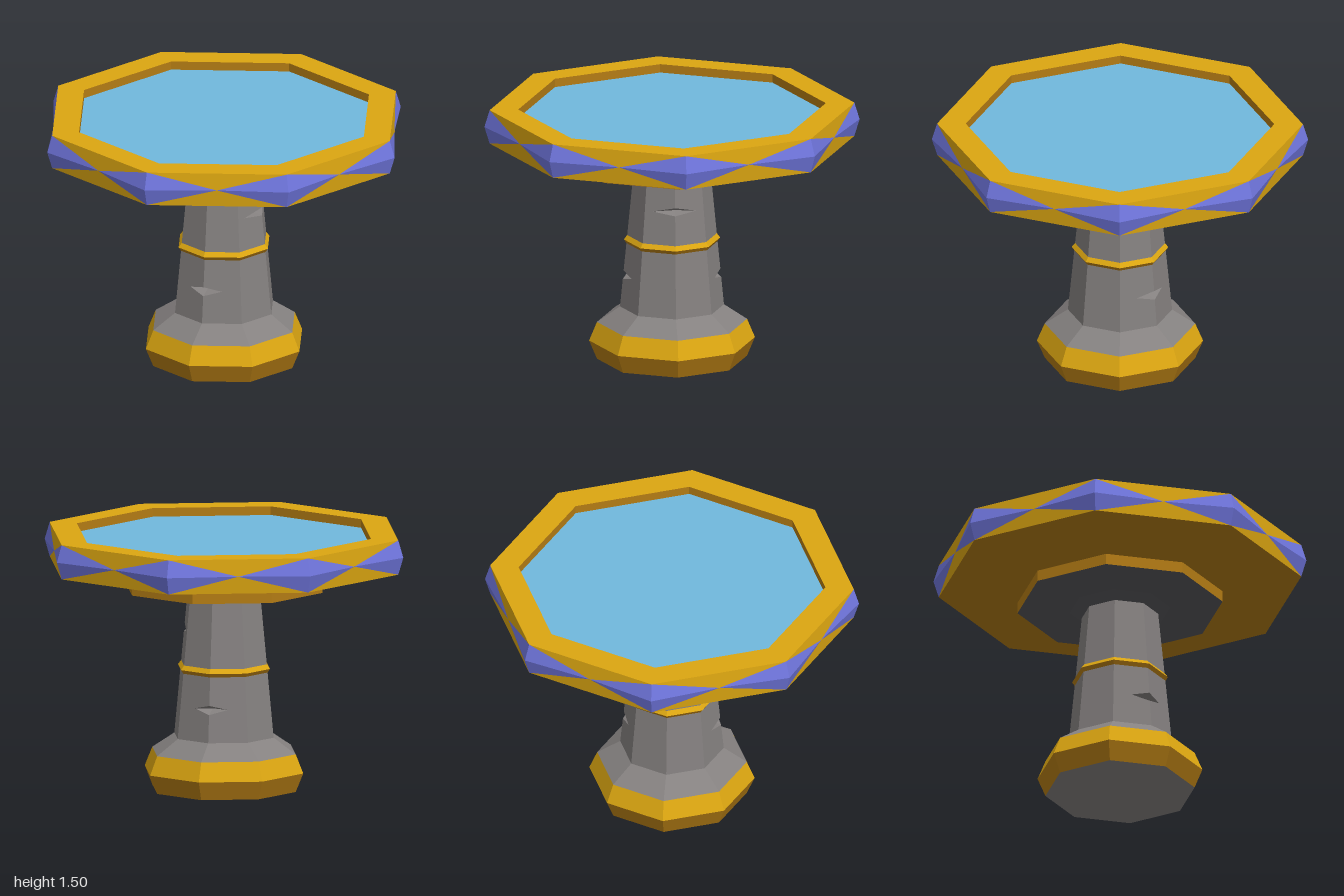
import * as THREE from 'three';

const mat = (name, color) => {
  const m = new THREE.MeshStandardMaterial({ color });
  m.name = name;
  return m;
};

// Corner k of a level octagon with the given apothem; k = 0 is front right
const corner = (k, apothem, y) => {
  const a = (k + 0.5) * Math.PI / 4, r = apothem / Math.cos(Math.PI / 8);
  return new THREE.Vector3(r * Math.sin(a), y, r * Math.cos(a));
};

// Flat-faceted mesh from convex polygons, each fanned from its first point
function facets(name, material, polygons) {
  const pts = [];
  for (const p of polygons)
    for (let i = 1; i < p.length - 1; i++) pts.push(p[0], p[i], p[i + 1]);
  const g = new THREE.BufferGeometry().setFromPoints(pts);
  g.computeVertexNormals();
  const mesh = new THREE.Mesh(g, material);
  mesh.name = name;
  return mesh;
}

// Eight-sided shell from [apothem, y] pairs, listed so that outside is to the right
function shell(name, material, profile) {
  const polys = [];
  for (let k = 0; k < 8; k++)
    for (let i = 0; i < profile.length - 1; i++) {
      const [a, ya] = profile[i], [b, yb] = profile[i + 1];
      polys.push([corner(k, a, ya), corner(k + 1, a, ya), corner(k + 1, b, yb), corner(k, b, yb)]);
    }
  return facets(name, material, polys);
}

// Flat octagon facing up or down
function disc(name, material, apothem, y, up) {
  const ring = Array.from({ length: 8 }, (_, k) => corner(up ? k : -k, apothem, y));
  return facets(name, material, [ring]);
}

// Tapered shaft with wedge-shaped chips cut into some corner edges
function shaft(material) {
  const y0 = 0.31, y1 = 1.115;
  const apothemAt = y => THREE.MathUtils.mapLinear(y, y0, y1, 0.277, 0.205);
  const at = (k, y) => corner(k, apothemAt(y), y);
  const chips = [
    { k: 0, low: 0.472, mid: 0.5, high: 0.525, reach: 0.5, depth: 0.75 },
    { k: 4, low: 0.472, mid: 0.5, high: 0.525, reach: 0.5, depth: 0.75 },
    { k: 2, low: 0.91, mid: 0.927, high: 0.957, reach: 0.75, depth: 0.7 },
  ];
  const polys = [];
  for (const c of chips) {
    c.p = at(c.k, c.low);
    c.q = at(c.k, c.high);
    c.left = at(c.k, c.mid).lerp(at(c.k - 1, c.mid), c.reach);
    c.right = at(c.k, c.mid).lerp(at(c.k + 1, c.mid), c.reach);
    const apex = corner(c.k, apothemAt(c.mid) * c.depth, c.mid);
    polys.push([c.q, c.left, apex], [c.left, c.p, apex], [c.p, c.right, apex], [c.right, c.q, apex]);
  }
  for (let k = 0; k < 8; k++) {
    const bl = at(k - 1, y0), br = at(k, y0), tr = at(k, y1), tl = at(k - 1, y1);
    const onRight = chips.find(c => c.k === k), onLeft = chips.find(c => c.k === k - 1);
    if (onRight) polys.push([onRight.left, onRight.q, tr, tl, bl, br, onRight.p]);
    else if (onLeft) polys.push([onLeft.right, onLeft.p, bl, br, tr, tl, onLeft.q]);
    else polys.push([bl, br, tr, tl]);
  }
  return facets('shaft', material, polys);
}

// Rim sides: gold triangles above and below, blue points spreading from each corner
function rimSides(gold, blue) {
  const goldPolys = [], bluePolys = [];
  for (let k = 0; k < 8; k++) {
    const bl = corner(k - 1, 0.972, 1.3), br = corner(k, 0.972, 1.3);
    const tl = corner(k - 1, 0.972, 1.5), tr = corner(k, 0.972, 1.5);
    const ml = corner(k - 1, 1, 1.4), mr = corner(k, 1, 1.4);
    const centre = corner(k - 1, 0.981, 1.4).lerp(corner(k, 0.981, 1.4), 0.5);
    goldPolys.push([centre, tr, tl], [centre, bl, br]);
    bluePolys.push([centre, tl, ml], [centre, ml, bl], [centre, br, mr], [centre, mr, tr]);
  }
  const group = new THREE.Group();
  group.name = 'rimSides';
  group.add(facets('rimGoldFacets', gold, goldPolys), facets('rimBluePoints', blue, bluePolys));
  return group;
}

export function createModel() {
  const gold = mat('gold', 0xdca611);
  const bronze = mat('bronze', 0xb47c14);
  const stone = mat('stone', 0x858180);
  const darkStone = mat('dark stone', 0x57565a);
  const blue = mat('violet blue', 0x7076de);
  const water = mat('water', 0x70b8dd);

  const model = new THREE.Group();
  model.name = 'pedestalBasin';
  model.add(
    // Foot
    disc('footUnderside', stone, 0.4, 0, false),
    shell('footLower', bronze, [[0.4, 0], [0.442, 0.11]]),
    shell('footUpper', gold, [[0.442, 0.11], [0.4, 0.22]]),
    shell('footShoulder', stone, [[0.4, 0.22], [0.277, 0.31]]),
    // Column and its band
    shaft(stone),
    shell('bandLower', bronze, [[0.238, 0.68], [0.257, 0.71]]),
    shell('bandUpper', gold, [[0.257, 0.71], [0.236, 0.74]]),
    // Neck and support plate
    shell('neck', darkStone, [[0.205, 1.115], [0.27, 1.152], [0.55, 1.17]]),
    shell('supportPlate', bronze, [[0.55, 1.17], [0.55, 1.235]]),
    // Basin
    shell('basinUnderside', bronze, [[0.55, 1.235], [0.972, 1.3]]),
    rimSides(gold, blue),
    shell('rimTop', gold, [[0.972, 1.5], [0.82, 1.5]]),
    shell('basinWall', bronze, [[0.82, 1.5], [0.82, 1.45]]),
    disc('waterSurface', water, 0.82, 1.45, true),
  );
  return model;
}
